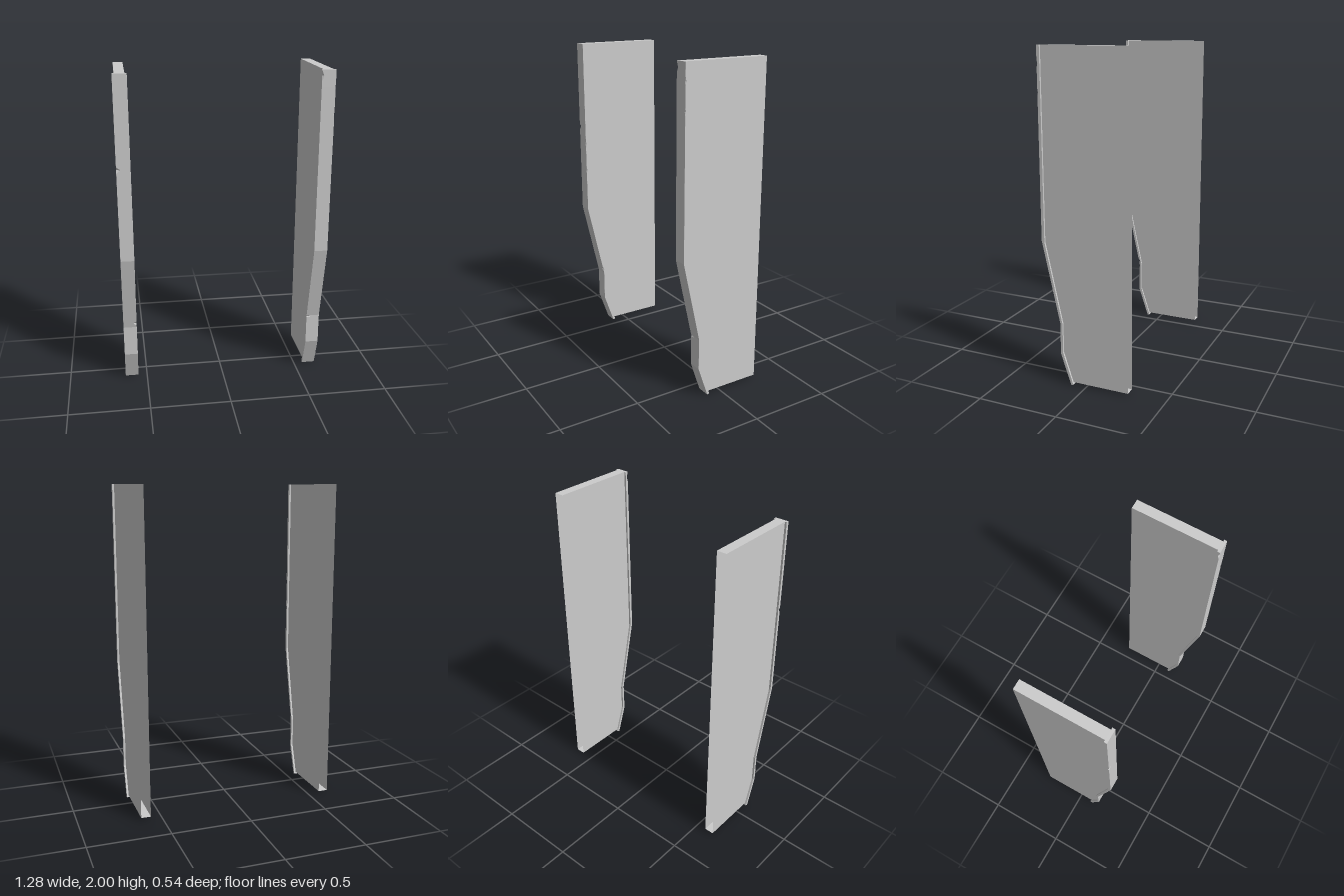
import * as THREE from 'three';

const CENTER_X = 0.599, PANEL_HALF = 0.03, TRIM_HALF = 0.042, BACK_Z = -0.272;

// Front edge profiles, bottom to top: [z, y]
const OUTER = [[0.095, 0], [0.161, 0.193], [0.161, 0.386], [0.272, 0.884], [0.272, 2]];
const INNER = [[0.081, 0.005], [0.146, 0.2], [0.146, 0.383], [0.254, 0.876], [0.254, 2]];

// Worn nicks on the trim's front corners: side (-1 / +1 in x), height, half length, bite in x and z
const NICKS = {
  leftPanel: [
    { side: -1, y: 1.965, h: 0.03, x: 0.012, z: 0.008 },
    { side: 1, y: 1.9, h: 0.025, x: 0.006, z: 0.005 },
    { side: 1, y: 1.74, h: 0.02, x: 0.005, z: 0.005 },
    { side: -1, y: 0.38, h: 0.005, x: 0.036, z: 0.004 },
  ],
  rightPanel: [
    { side: -1, y: 1.45, h: 0.018, x: 0.025, z: 0.01 },
    { side: 1, y: 1.34, h: 0.025, x: 0.005, z: 0.005 },
    { side: 1, y: 1.16, h: 0.02, x: 0.005, z: 0.005 },
    { side: 1, y: 0.415, h: 0.015, x: 0.025, z: 0.008 },
  ],
};

// Point on a profile at fraction t of segment k
const along = (p, k, t) => [0, 1].map((a) => p[k][a] + (p[k + 1][a] - p[k][a]) * t);

function trimGeometry(nicks) {
  // Stations: profile bends plus the start, middle and end of each nick
  const ys = [...OUTER.map((p) => p[1]), ...nicks.flatMap((n) => [n.y - n.h, n.y, n.y + n.h])];
  const stations = [...new Set(ys)].sort((a, b) => a - b);
  const pos = [], index = [], N = 6;
  for (const y of stations) {
    let k = 0;
    while (k < OUTER.length - 2 && y > OUTER[k + 1][1]) k++;
    const t = (y - OUTER[k][1]) / (OUTER[k + 1][1] - OUTER[k][1]);
    const [zo, yo] = along(OUTER, k, t), [zi, yi] = along(INNER, k, t);
    const bite = (side) => {
      const b = { x: 0.0005, z: 0.0005 };
      for (const n of nicks) {
        const w = 1 - Math.abs(y - n.y) / n.h;
        if (n.side === side && w > 0) { b.x += n.x * w; b.z += n.z * w; }
      }
      return b;
    };
    const l = bite(-1), r = bite(1), H = TRIM_HALF;
    pos.push(H, yi, zi, -H, yi, zi, -H, yo, zo - l.z,
      -H + l.x, yo, zo, H - r.x, yo, zo, H, yo, zo - r.z);
  }
  const last = (stations.length - 1) * N;
  for (let i = 0; i < last; i += N) {
    for (let j = 0; j < N; j++) {
      const a = i + j, b = i + (j + 1) % N;
      index.push(a, b, b + N, a, b + N, a + N);
    }
  }
  // End caps
  for (let j = 1; j < N - 1; j++) {
    index.push(0, j + 1, j, last, last + j, last + j + 1);
  }
  const g = new THREE.BufferGeometry();
  g.setAttribute('position', new THREE.Float32BufferAttribute(pos, 3));
  g.setIndex(index);
  const flat = g.toNonIndexed();
  flat.computeVertexNormals();
  return flat;
}

export function createModel() {
  const model = new THREE.Group();
  model.name = 'sidePanels';
  const sheet = new THREE.MeshStandardMaterial({ color: 0xcccccc, side: THREE.DoubleSide });
  const solid = new THREE.MeshStandardMaterial({ color: 0xcccccc, flatShading: true });

  // Side sheet outline, drawn in (-z, y) so it turns onto the yz plane
  const floorY = 0.016, floorZ = 0.085;
  const outline = [[BACK_Z, floorY], [floorZ, floorY], ...INNER.slice(1), [BACK_Z, 2]];
  const sheetGeo = new THREE.ShapeGeometry(
    new THREE.Shape(outline.map(([z, y]) => new THREE.Vector2(-z, y))));
  sheetGeo.rotateY(Math.PI / 2);

  const add = (group, name, geometry, material, x = 0, y = 0, z = 0) => {
    const mesh = new THREE.Mesh(geometry, material);
    mesh.name = name;
    mesh.position.set(x, y, z);
    group.add(mesh);
    return mesh;
  };

  // Horizontal plate closing the panel from its back to frontZ
  const plate = (frontZ, up) => new THREE.PlaneGeometry(2 * PANEL_HALF, frontZ - BACK_Z)
    .rotateX(up ? -Math.PI / 2 : Math.PI / 2);

  for (const [name, side] of [['leftPanel', 1], ['rightPanel', -1]]) {
    const panel = new THREE.Group();
    panel.name = name;
    panel.position.x = side * CENTER_X;

    // Hollow body, open at the back
    add(panel, 'leftSheet', sheetGeo, sheet, PANEL_HALF);
    add(panel, 'rightSheet', sheetGeo.clone().rotateY(Math.PI).scale(1, 1, -1), sheet, -PANEL_HALF);
    add(panel, 'topPlate', plate(0.254, true), sheet, 0, 2, (0.254 + BACK_Z) / 2);
    add(panel, 'bottomPlate', plate(floorZ, false), sheet, 0, floorY, (floorZ + BACK_Z) / 2);

    // Wider worn strip along the front edge
    add(panel, 'frontTrim', trimGeometry(NICKS[name]), solid);
    model.add(panel);
  }
  return model;
}
